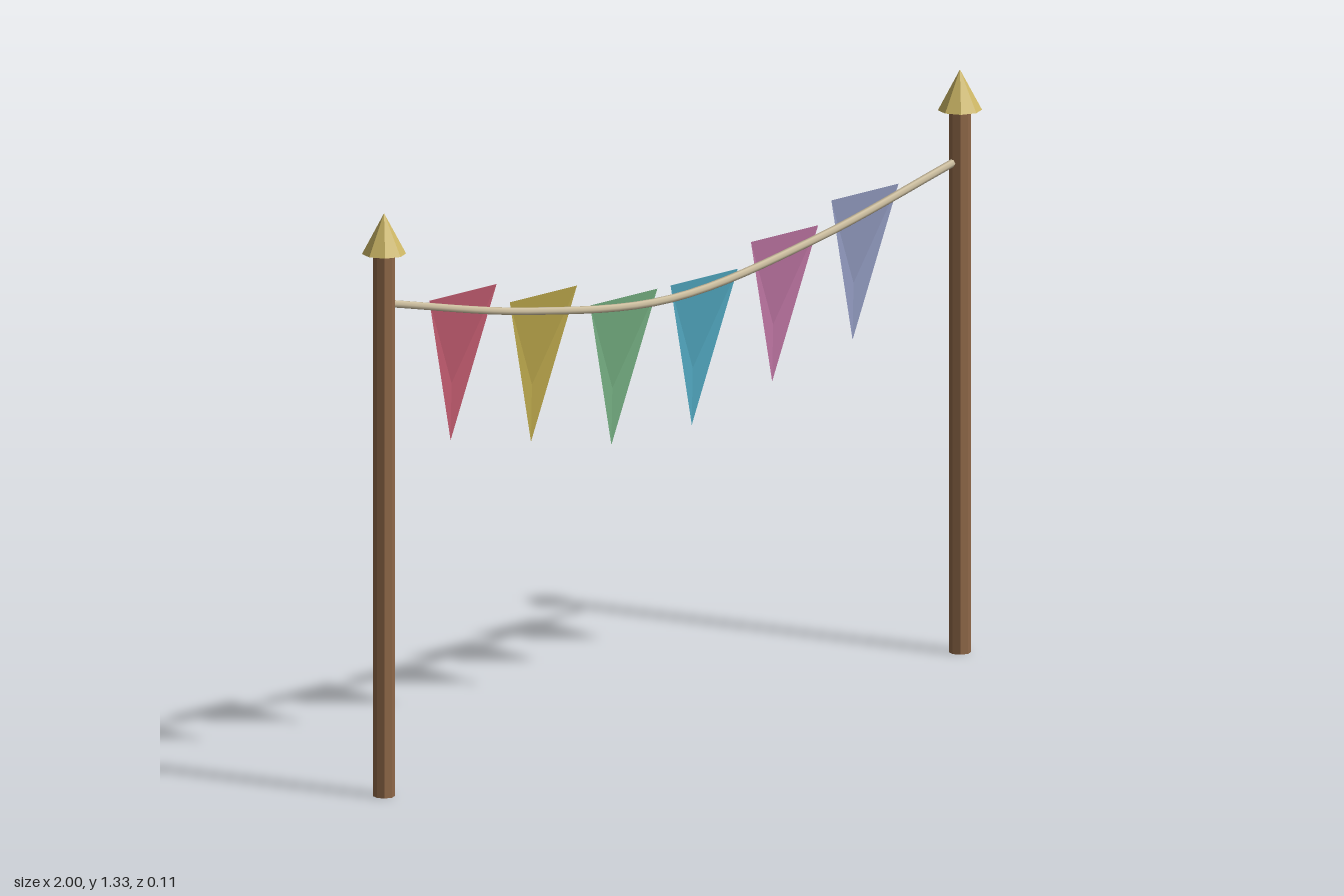
import * as THREE from 'three';

const mat = (name, color, extra = {}) => {
  const m = new THREE.MeshStandardMaterial({ color, flatShading: true, ...extra });
  m.name = name;
  return m;
};

// Pennant blown backwards: three facets meeting at a point near the middle
function pennantGeometry(halfWidth, height, depth) {
  const left = [-halfWidth, 0, 0], right = [halfWidth, 0, 0];
  const tip = [0, -height, -depth], belly = [0, -height * 0.62, -depth * 0.92];
  const geo = new THREE.BufferGeometry();
  const corners = [left, right, belly, right, tip, belly, tip, left, belly].flat();
  geo.setAttribute('position', new THREE.Float32BufferAttribute(corners, 3));
  geo.computeVertexNormals();
  return geo;
}

export function createModel() {
  const model = new THREE.Group();
  model.name = 'bunting';
  const wood = mat('wood', 0x8f6848);
  const gold = mat('gold', 0xcdb766);
  const ropeMat = mat('rope', 0xcdbfa0, { flatShading: false });
  const add = (name, geo, material, x, y, z) => {
    const mesh = new THREE.Mesh(geo, material);
    mesh.name = name;
    mesh.position.set(x, y, z);
    model.add(mesh);
  };
  const poleZ = 0.006;

  // Poles with pointed caps
  const poleGeo = new THREE.CylinderGeometry(0.024, 0.024, 1.235, 8);
  const capGeo = new THREE.ConeGeometry(0.049, 0.092, 8);
  for (const [side, s] of [['left', 1], ['right', -1]]) {
    add(side + 'Pole', poleGeo, wood, s * 0.951, 0.6175, poleZ);
    add(side + 'PoleCap', capGeo, gold, s * 0.951, 1.279, poleZ);
  }

  // Sagging rope
  const path = new THREE.CatmullRomCurve3(
    [[-0.95, 1.12], [-0.475, 1.02], [0, 0.967], [0.475, 1.02], [0.95, 1.12]]
      .map(([x, y]) => new THREE.Vector3(x, y, 0)));
  add('rope', new THREE.TubeGeometry(path, 32, 0.009, 6), ropeMat, 0, 0, poleZ - 0.003);

  // Six pennants, following the sag
  const flagGeo = pennantGeometry(0.111, 0.342, 0.037);
  const tops = [1.092, 1.043, 0.99, 0.99, 1.043, 1.092];
  const colors = [['red', 0xc35c70], ['yellow', 0xbca84c], ['green', 0x76b083],
    ['teal', 0x52a9c1], ['pink', 0xbf76a4], ['periwinkle', 0x949dc3]];
  colors.forEach(([name, color], i) => {
    const material = mat(name, color, { side: THREE.DoubleSide });
    add(name + 'Pennant', flagGeo, material, (i - 2.5) * 0.2655, tops[i], -0.018);
  });
  return model;
}
